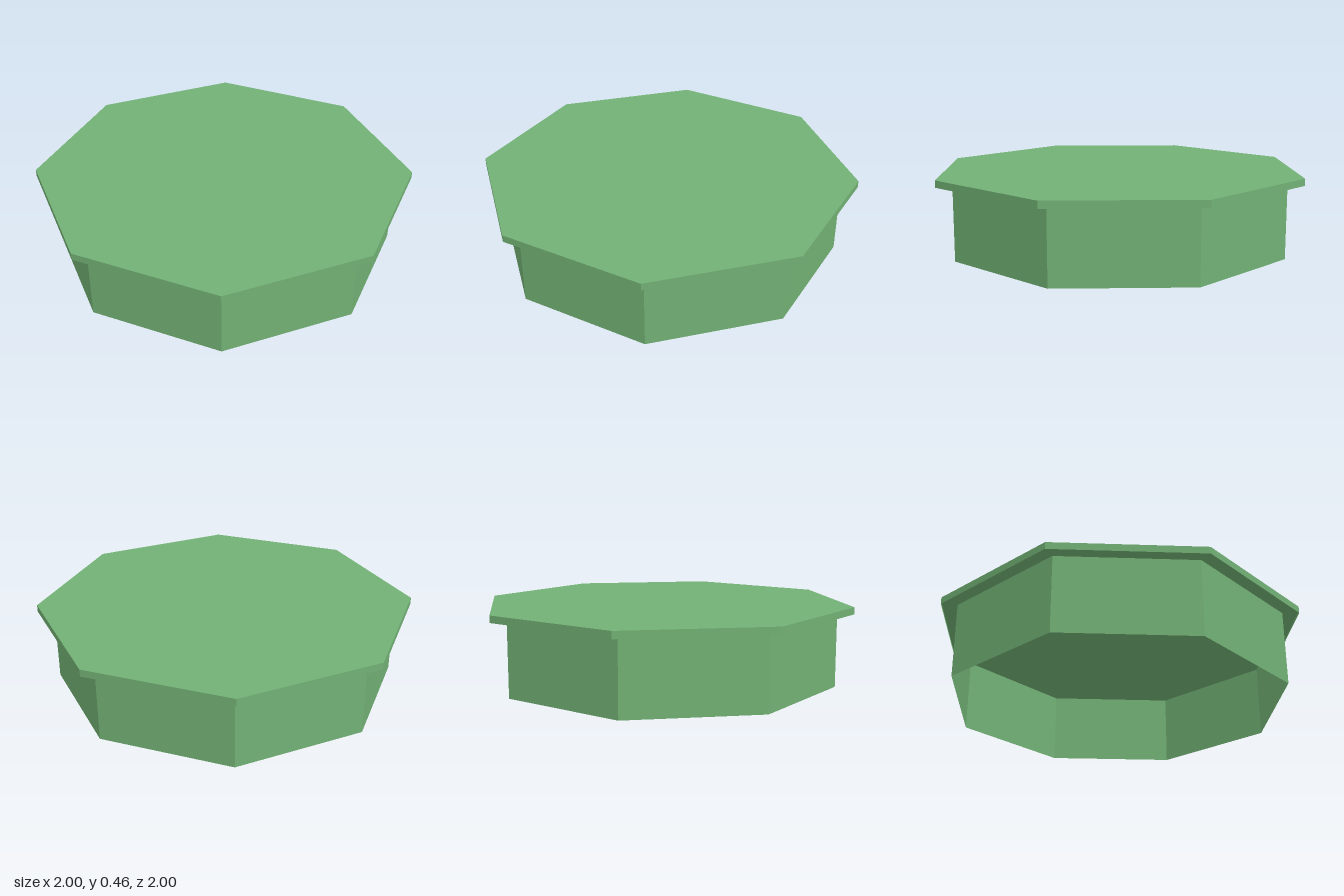
import * as THREE from 'three';

// Upright octagonal prism sized by the distance from its centre to a flat side
function octagon(name, apothem, y0, y1, open) {
  const radius = apothem / Math.cos(Math.PI / 8);
  const geometry = new THREE.CylinderGeometry(radius, radius, y1 - y0, 8, 1, open);
  geometry.rotateY(Math.PI / 8); // flat sides face the axes
  geometry.translate(0, (y0 + y1) / 2, 0);
  const mesh = new THREE.Mesh(geometry, new THREE.MeshStandardMaterial({
    color: 0x72b175,
    flatShading: true,
    side: open ? THREE.DoubleSide : THREE.FrontSide,
  }));
  mesh.name = name;
  return mesh;
}

export function createModel() {
  const group = new THREE.Group();
  group.name = 'octagonalPlatform';

  // Overhanging top plate with a thin lip hanging from its edge
  group.add(octagon('topPlate', 1, 0.435, 0.46, false));
  group.add(octagon('edgeLip', 1, 0.42, 0.435, true));

  // Thin hollow skirt, open underneath, reaching up to the plate
  group.add(octagon('skirtWall', 0.913, 0, 0.435, true));

  return group;
}
